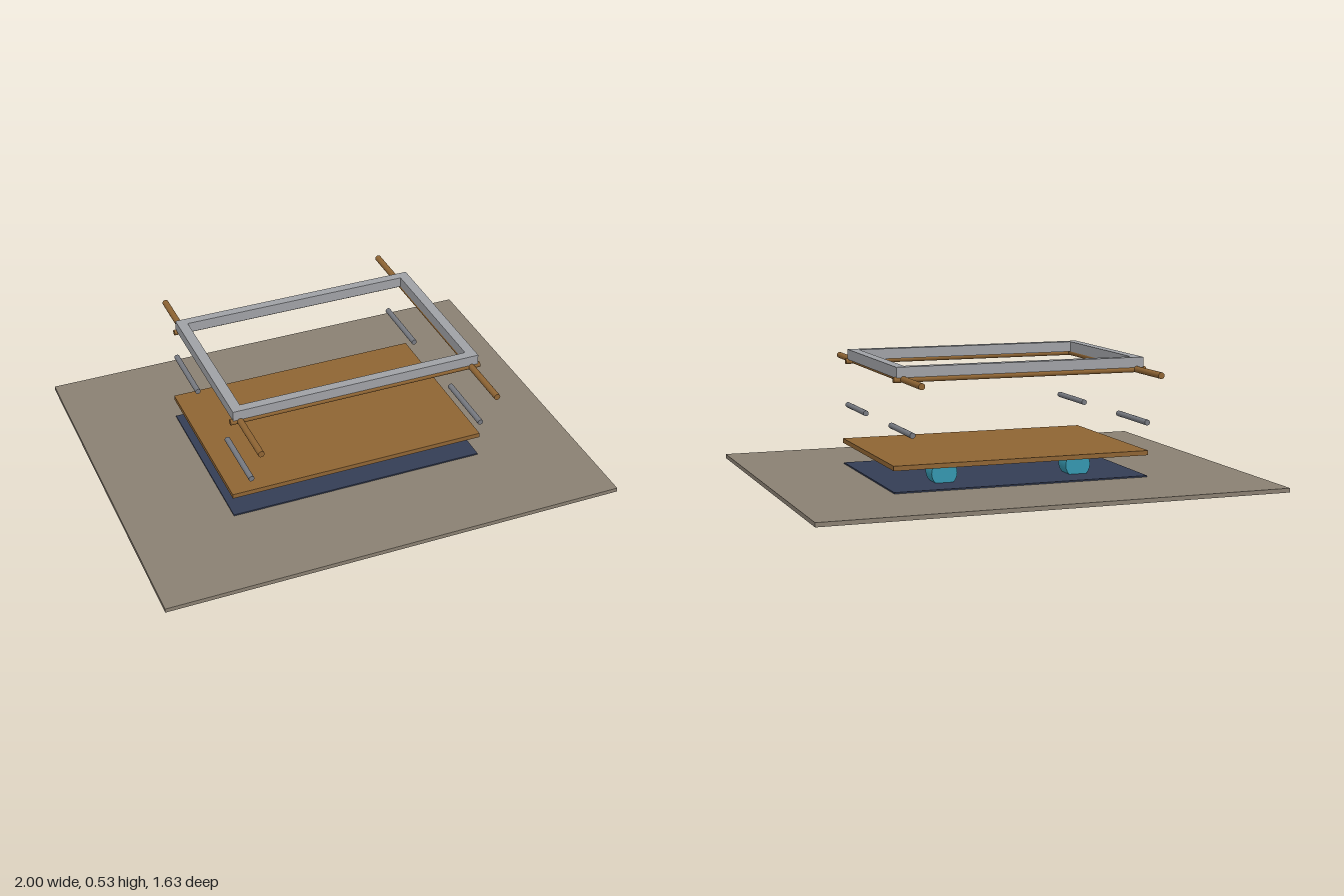
import * as THREE from 'three';

const mat = (color) => new THREE.MeshStandardMaterial({ color });
const brown = mat(0x8e6433), grey = mat(0x9fa1a5), steel = mat(0x767980);
const ground = mat(0x8a8072), navy = mat(0x343d55), teal = mat(0x3596ae);

export function createModel() {
  const group = new THREE.Group();

  const add = (name, geometry, material, x, y, z) => {
    const mesh = new THREE.Mesh(geometry, material);
    mesh.name = name;
    mesh.position.set(x, y, z);
    group.add(mesh);
    return mesh;
  };
  const box = (name, material, w, h, d, y) =>
    add(name, new THREE.BoxGeometry(w, h, d), material, 0, y, 0);
  // Round bar lying along z, or along x
  const bar = (name, material, r, length, axis, x, y, z) => {
    const geometry = new THREE.CylinderGeometry(r, r, length, 24);
    if (axis === 'z') geometry.rotateX(Math.PI / 2);
    else geometry.rotateZ(Math.PI / 2);
    return add(name, geometry, material, x, y, z);
  };

  // Base plate, thin mat and board
  box('basePlate', ground, 2, 0.018, 1.633, 0.009);
  box('mat', navy, 1.12, 0.006, 0.76, 0.021);
  box('board', brown, 1.125, 0.02, 0.765, 0.122);

  // Open rectangular frame
  const outline = new THREE.Shape();
  outline.moveTo(-0.543, -0.365).lineTo(0.543, -0.365).lineTo(0.543, 0.365).lineTo(-0.543, 0.365).closePath();
  const hole = new THREE.Path();
  hole.moveTo(-0.5, -0.326).lineTo(-0.5, 0.326).lineTo(0.5, 0.326).lineTo(0.5, -0.326).closePath();
  outline.holes.push(hole);
  const frame = new THREE.ExtrudeGeometry(outline, { depth: 0.045, bevelEnabled: false });
  frame.rotateX(-Math.PI / 2);
  add('frame', frame, grey, 0, 0.484, 0);

  for (const s of [-1, 1]) {
    // Carrying poles and cross rods under the frame
    bar('carryingPole', brown, 0.0135, 1.208, 'z', s * 0.513, 0.478, 0);
    bar('crossRod', brown, 0.012, 1.108, 'x', 0, 0.477, s * 0.357);
    for (const t of [-1, 1]) {
      // Loose pins and rollers
      bar('pin', steel, 0.012, 0.29, 'z', s * 0.512, 0.267, t * 0.332);
      bar('roller', teal, 0.056, 0.082, 'z', s * 0.3, 0.064, t * 0.2);
    }
  }
  return group;
}
